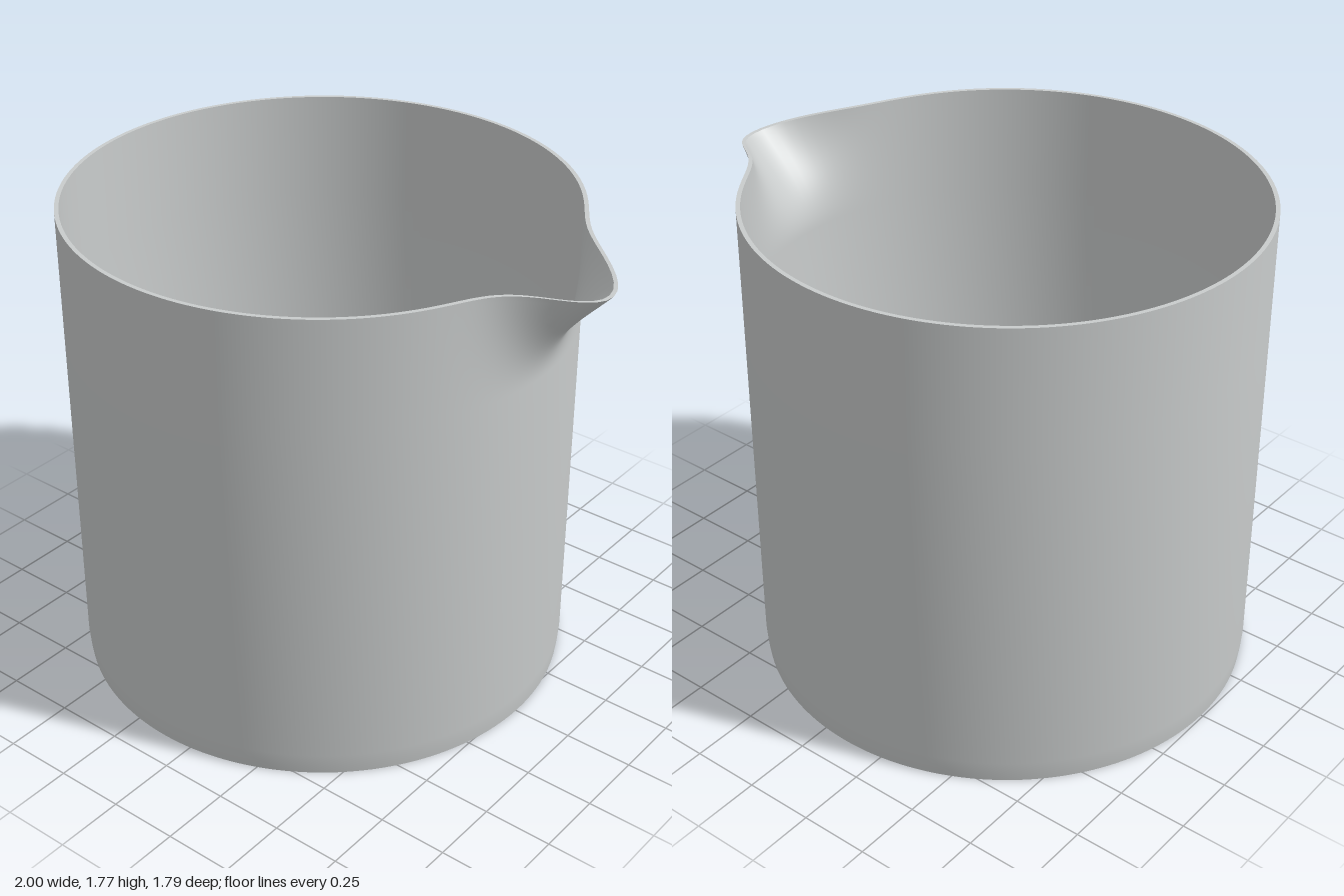
import * as THREE from 'three';
import { toCreasedNormals } from 'three/addons/utils/BufferGeometryUtils.js';

const RADIUS = 0.893, HEIGHT = 1.77, WALL = 0.015;
const SPOUT_BASE = 1.37, SPOUT_REACH = 0.216, SPOUT_DIP = 0.06;
const SPOUT_ANGLE = -0.066;

// Pulls the wall outwards and the rim downwards around the spout direction
function pullSpout(geometry) {
  const pos = geometry.attributes.position;
  for (let i = 0; i < pos.count; i++) {
    const x = pos.getX(i), y = pos.getY(i), z = pos.getZ(i);
    const r = Math.hypot(x, z);
    if (y <= SPOUT_BASE || r < 0.5) continue;
    const t = (y - SPOUT_BASE) / (HEIGHT - SPOUT_BASE);
    const off = Math.atan2(z, x) - SPOUT_ANGLE;
    const across = Math.exp(-0.5 * (off / 0.157) ** 2);
    const dip = Math.exp(-0.5 * (off / 0.14) ** 2);
    const flare = t * t * (1 + 0.6 * t * (1 - t));
    const k = 1 + (SPOUT_REACH * across * flare) / r;
    pos.setXYZ(i, x * k, y - SPOUT_DIP * dip * t, z * k);
  }
}

export function createModel() {
  const group = new THREE.Group();
  group.name = 'beaker';
  const grey = new THREE.MeshStandardMaterial({ color: 0xc9cccc });
  grey.name = 'light grey';

  // Closed wall profile: base, outside, rim, inside, floor
  const rows = 20;
  const heights = Array.from({ length: rows + 1 }, (_, i) => SPOUT_BASE + (HEIGHT - SPOUT_BASE) * i / rows);
  const inner = RADIUS - WALL;
  const points = [
    [0, 0], [RADIUS - 0.008, 0], [RADIUS - 0.004, 0.03], [RADIUS, 0.08],
    ...heights.map((y) => [RADIUS, y]),
    ...heights.reverse().map((y) => [inner, y]),
    [inner, 0.08], [inner - 0.008, WALL], [0, WALL],
  ].map(([r, y]) => new THREE.Vector2(r, y));

  const lathe = new THREE.LatheGeometry(points, 180);
  pullSpout(lathe);
  const body = new THREE.Mesh(toCreasedNormals(lathe, 0.7), grey);
  body.name = 'vesselWithSpout';
  body.position.x = RADIUS - 1;
  group.add(body);
  return group;
}
